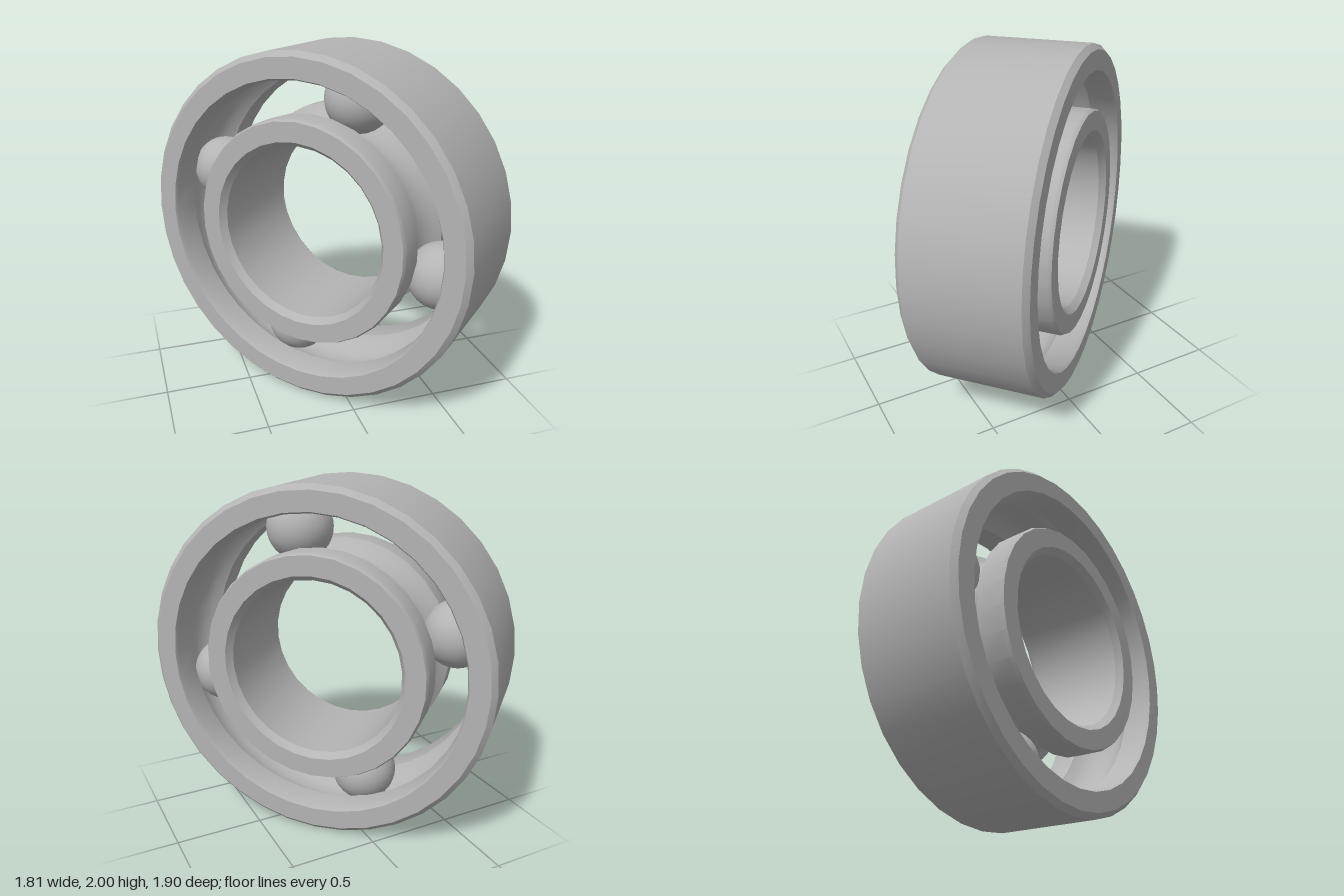
import * as THREE from 'three';
import { toCreasedNormals } from 'three/addons/utils/BufferGeometryUtils.js';

const HALF = 0.34;          // half width of the bearing
const PITCH = 0.75;         // radius of the ball circle
const BALL = 0.19;          // ball radius
const GROOVE = 0.2;         // radius of the raceway groove

// Points of a raceway arc about the ball centre, running from angle a to b
function arc(a, b, steps = 8) {
  return Array.from({ length: steps + 1 }, (_, i) => {
    const t = a + (b - a) * i / steps;
    return [PITCH + GROOVE * Math.cos(t), GROOVE * Math.sin(t)];
  });
}

// Closed profile (radius, axial) revolved about the z axis
function ring(name, profile, segments, material) {
  const points = [...profile, profile[0]].map(([r, z]) => new THREE.Vector2(r, z));
  const geometry = new THREE.LatheGeometry(points, segments).rotateX(Math.PI / 2);
  const mesh = new THREE.Mesh(toCreasedNormals(geometry, 0.5), material);
  mesh.name = name;
  return mesh;
}

export function createModel() {
  const model = new THREE.Group();
  model.name = 'ballBearing';
  const steel = new THREE.MeshStandardMaterial({ color: 0xb4b4b4 });
  steel.name = 'steel grey';

  const bearing = new THREE.Group();
  bearing.name = 'bearing';
  bearing.position.y = 1;
  bearing.rotation.y = -0.835;
  model.add(bearing);

  // Outer race: bevelled rim, groove on the inside
  const a = Math.acos(0.1 / GROOVE);
  bearing.add(ring('outerRace', [
    [0.97, -HALF], [1, -HALF + 0.03], [1, HALF - 0.03], [0.97, HALF],
    [0.86, HALF], [0.85, HALF - 0.02],
    ...arc(a, -a),
    [0.85, -HALF + 0.02], [0.86, -HALF],
  ], 36, steel));

  // Inner race: groove on the outside, bevelled bore
  bearing.add(ring('innerRace', [
    [0.64, -HALF], [0.65, -HALF + 0.02],
    ...arc(Math.PI + a, Math.PI - a),
    [0.65, HALF - 0.02], [0.64, HALF],
    [0.53, HALF], [0.5, HALF - 0.04], [0.5, -HALF + 0.04], [0.53, -HALF],
  ], 30, steel));

  // Four balls spaced evenly around the raceway
  const ballGeometry = new THREE.SphereGeometry(BALL, 28, 18);
  for (let i = 0; i < 4; i++) {
    const angle = -Math.PI / 2 - 0.27 + i * Math.PI / 2;
    const ball = new THREE.Mesh(ballGeometry, steel);
    ball.name = `ball${i + 1}`;
    ball.position.set(PITCH * Math.cos(angle), PITCH * Math.sin(angle), 0);
    bearing.add(ball);
  }
  return model;
}
